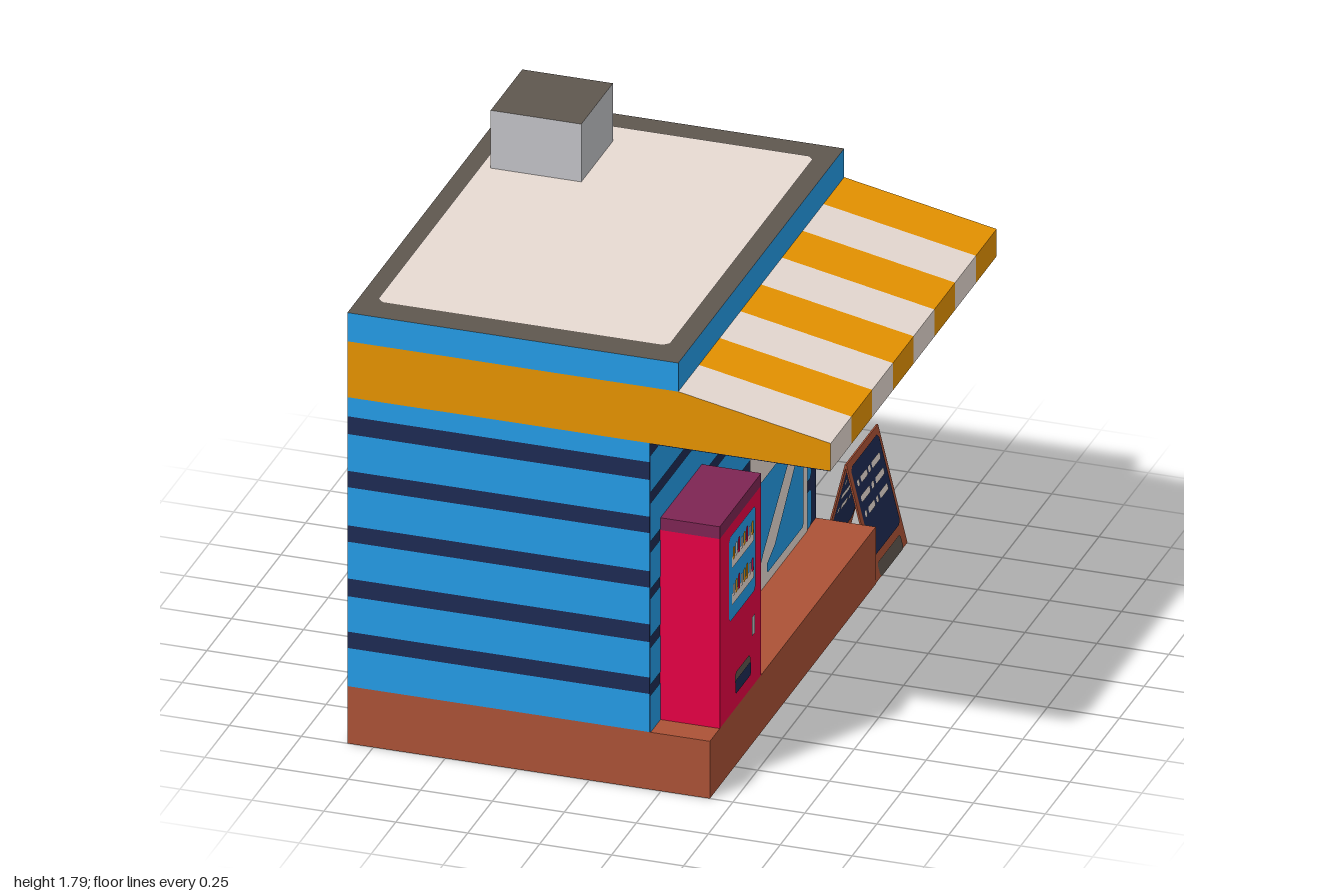
import * as THREE from 'three';

const flat = (name, color) => {
  const m = new THREE.MeshStandardMaterial({ color });
  m.name = name;
  return m;
};

export function createModel() {
  const blue = flat('blue', 0x29adff), navy = flat('navy', 0x1d2b53), orange = flat('orange', 0xffa300);
  const cream = flat('cream', 0xfff1e8), brown = flat('brown', 0xab5236), red = flat('red', 0xff004d);
  const purple = flat('purple', 0x7e2553), darkGrey = flat('darkGrey', 0x5f574f), grey = flat('grey', 0xc2c3c7);

  const model = new THREE.Group();
  model.name = 'cornerShop';
  const group = (name, parent = model) => {
    const g = new THREE.Group();
    g.name = name;
    parent.add(g);
    return g;
  };
  const add = (parent, name, geo, mat) => {
    const m = new THREE.Mesh(geo, mat);
    m.name = name;
    parent.add(m);
    return m;
  };
  // Box given by its limits; top and bottom may take their own colours
  const box = (parent, name, mat, [x0, x1], [y0, y1], [z0, z1], top = mat, bottom = mat) => {
    const geo = new THREE.BoxGeometry(x1 - x0, y1 - y0, z1 - z0);
    geo.translate((x0 + x1) / 2, (y0 + y1) / 2, (z0 + z1) / 2);
    const plain = top === mat && bottom === mat;
    return add(parent, name, geo, plain ? mat : [mat, mat, top, bottom, mat, mat]);
  };
  const roundRect = (u0, u1, v0, v1, r) => {
    const s = new THREE.Shape();
    s.moveTo(u0 + r, v0).lineTo(u1 - r, v0).lineTo(u1, v0 + r).lineTo(u1, v1 - r);
    s.lineTo(u1 - r, v1).lineTo(u0 + r, v1).lineTo(u0, v1 - r).lineTo(u0, v0 + r);
    return s;
  };
  // Flat painted face looking along +x, with u = -z and v = y
  const face = (parent, name, mat, shape, x) =>
    add(parent, name, new THREE.ShapeGeometry(shape).rotateY(Math.PI / 2).translate(x, 0, 0), mat);
  const rect = (parent, name, mat, u0, u1, v0, v1, x, r = 0) =>
    face(parent, name, mat, roundRect(u0, u1, v0, v1, r), x);
  const poly = (pts) => new THREE.Shape(pts.map(([u, v]) => new THREE.Vector2(u, v)));

  const Z = [-0.68, 1];
  box(model, 'base', brown, [-0.84, 0.42], [0, 0.21], Z, brown, navy);

  // Siding: alternating courses of blue boards and navy gaps
  const walls = group('walls');
  const courses = [0.21, 0.35, 0.41, 0.54, 0.605, 0.74, 0.8, 0.94, 1, 1.135, 1.2, 1.27];
  for (let i = 0; i < courses.length - 1; i++)
    box(walls, i % 2 ? 'sidingGap' : 'sidingBoard', i % 2 ? navy : blue,
      [-0.84, 0.21], [courses[i], courses[i + 1]], Z);

  // Shop front boards on a navy backing
  const front = group('shopFront');
  rect(front, 'frontBacking', navy, -1, 0.68, 0.21, 1.27, 0.212);
  [[0.21, 0.345], [0.385, 0.52], [0.56, 0.7], [0.735, 0.87], [0.91, 1.05], [1.09, 1.225]].forEach(([a, b]) =>
    face(front, 'frontBoard', blue,
      poly([[-1, a], [0.615, a], [0.63, a + 0.015], [0.63, b - 0.015], [0.615, b], [-1, b]]), 0.214));

  // Door with two glass panes crossed by diagonal glints
  const door = group('door');
  rect(door, 'doorFrame', cream, 0, 0.58, 0.21, 1.09, 0.217);
  rect(door, 'doorHeader', navy, 0.05, 0.525, 1.005, 1.045, 0.22, 0.005);
  [[0.69, 0.955, 1.0, 0.74, 0.39], [0.25, 0.56, 0.61, 0.305, 0.42]].forEach(([low, right, top, left, end]) => {
    face(door, 'glass', blue,
      poly([[0.05, left], [0.09, left], [0.13, left + 0.04], [end, top - 0.02], [end - 0.01, top], [0.06, top], [0.05, top - 0.01]]), 0.22);
    face(door, 'glass', blue,
      poly([[0.16, low + 0.01], [0.17, low], [0.52, low], [0.53, low + 0.01], [0.53, right], [0.49, right], [0.24, low + 0.07], [0.16, low + 0.035]]), 0.22);
  });

  // Orange band around the building and the striped canopy
  const awning = group('awning');
  box(awning, 'band', orange, [-0.84, 0.31], [1.27, 1.475], Z, orange, navy);
  const profile = poly([[0.31, 1.27], [0.84, 1.27], [0.84, 1.37], [0.31, 1.475]]);
  for (let i = 0; i < 8; i++) {
    const geo = new THREE.ExtrudeGeometry(profile, { depth: 0.21, bevelEnabled: false });
    geo.translate(0, 0, -0.68 + i * 0.21);
    add(awning, 'canopyStripe', geo, [orange, i % 2 ? cream : orange]);
  }
  box(awning, 'canopyUnderside', navy, [0.21, 0.838], [1.267, 1.27], [-0.679, 0.999]);

  // Roof
  const roof = group('roof');
  box(roof, 'parapet', blue, [-0.84, 0.31], [1.475, 1.58], Z, darkGrey);
  add(roof, 'roofSurface', new THREE.ShapeGeometry(roundRect(-0.775, 0.24, -0.895, 0.585, 0.02))
    .rotateX(-Math.PI / 2).translate(0, 1.583, 0), cream);
  box(roof, 'roofVent', grey, [-0.74, -0.425], [1.58, 1.795], [-0.48, -0.16], darkGrey);

  // Vending machine
  const vending = group('vendingMachine');
  box(vending, 'cabinet', red, [0.21, 0.42], [0.21, 0.905], [0.48, 0.9]);
  box(vending, 'cabinetTop', purple, [0.21, 0.42], [0.905, 0.95], [0.48, 0.9]);
  rect(vending, 'displayWindow', blue, -0.81, -0.545, 0.555, 0.865, 0.422, 0.012);
  const colours = [orange, cream, red, cream, orange, red, cream, orange];
  [[0.745, 0], [0.61, 3]].forEach(([y, shift]) => {
    rect(vending, 'shelf', cream, -0.79, -0.565, y, y + 0.042, 0.424, 0.005);
    for (let i = 0; i < 8; i++) {
      const u = -0.785 + i * 0.027;
      rect(vending, 'snack', colours[(i + shift) % 8], u, u + 0.02, y + 0.03, y + 0.075 + (i % 3) * 0.006, 0.426, 0.005);
    }
  });
  rect(vending, 'coinSlot', grey, -0.58, -0.55, 0.4, 0.47, 0.423);
  rect(vending, 'trayFlap', darkGrey, -0.755, -0.6, 0.3, 0.345, 0.423, 0.012);
  rect(vending, 'trayOpening', navy, -0.755, -0.6, 0.268, 0.318, 0.425, 0.006);

  // Folding pavement board: two leaning leaves, painted on both sides
  const board = group('pavementBoard');
  const len = 0.43, lean = Math.atan2(0.103, 0.42);
  const marks = [[[-0.12, -0.1], [-0.085, -0.02], [-0.01, 0.015], [0.025, 0.11]],
    [[-0.12, -0.03], [-0.015, 0.01], [0.025, 0.11]],
    [[-0.12, -0.1], [-0.085, -0.02], [-0.005, 0.015], [0.03, 0.11]]];
  for (const side of [1, -1]) {
    const leaf = group('boardLeaf', board);
    leaf.position.set(0.315, 0.42, -0.84);
    leaf.rotation.z = side * lean;
    box(leaf, 'boardFrame', brown, [-0.003, 0.003], [-len, 0], [-0.16, 0.16]);
    for (const turn of [0, Math.PI]) {
      const paint = group('boardFace', leaf);
      paint.rotation.y = turn;
      rect(paint, 'boardPanel', navy, -0.14, 0.14, -0.35, -0.022, 0.005, 0.015);
      rect(paint, 'boardFoot', darkGrey, -0.115, 0.115, -len, -0.378, 0.005, 0.01);
      marks.forEach((row, r) => row.forEach(([a, b]) =>
        rect(paint, 'chalkDash', cream, a, b, -0.1 - r * 0.056, -0.077 - r * 0.056, 0.007, 0.005)));
    }
  }
  return model;
}
